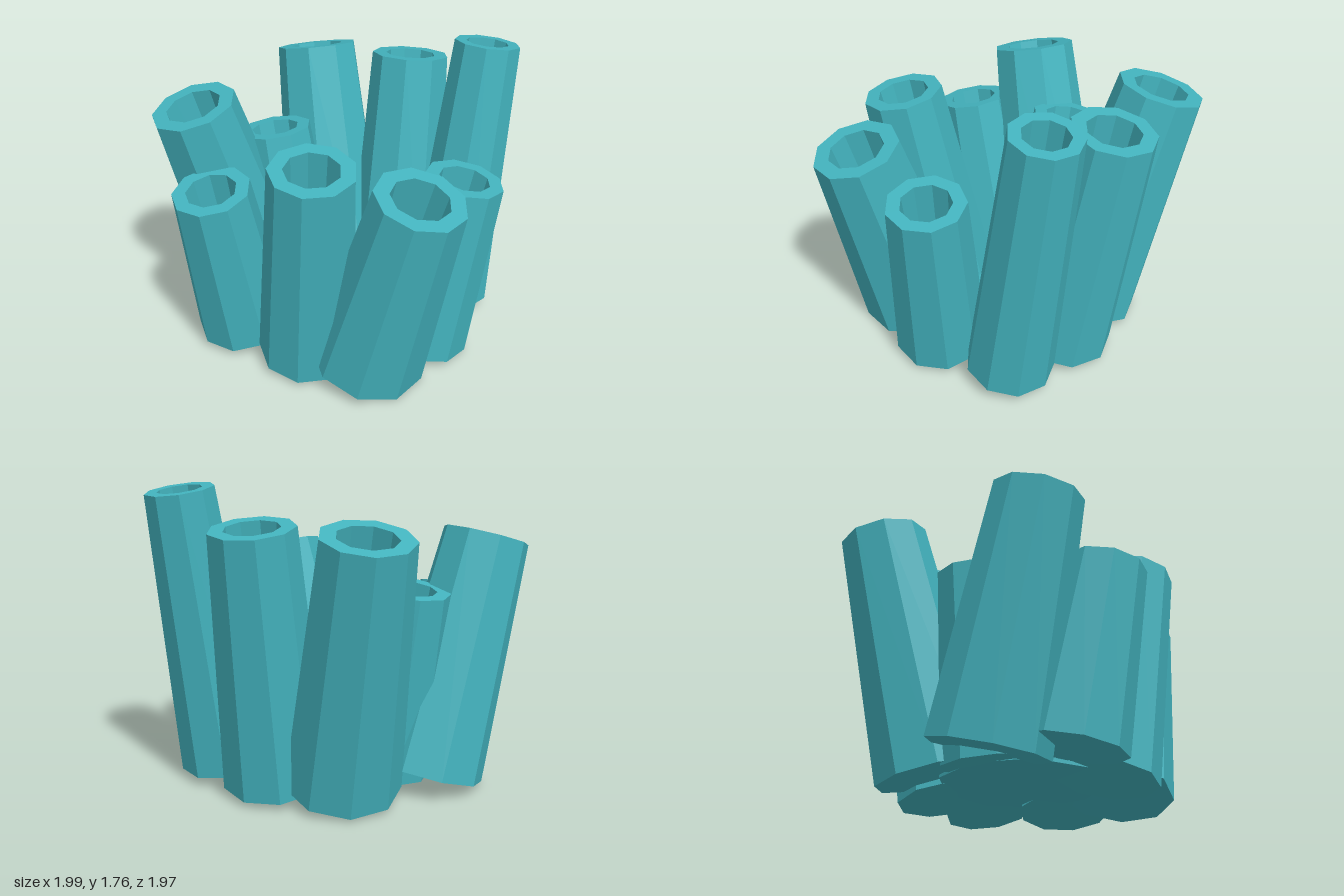
import * as THREE from 'three';

// Each tube: top centre, bottom centre, top radius, foot radius
const TUBES = [
  { name: 'backLeftTube', top: [0.39, 1.73, -0.785], base: [0.375, 0.09, -0.515], r: 0.197, foot: 0.265 },
  { name: 'backMiddleTube', top: [-0.14, 1.55, -0.74], base: [-0.05, 0.08, -0.505], r: 0.24, foot: 0.305 },
  { name: 'backRightTube', top: [-0.75, 1.53, -0.53], base: [-0.41, 0.1, -0.33], r: 0.255, foot: 0.34 },
  { name: 'sideRightTube', top: [-0.59, 1.18, 0.05], base: [-0.41, 0.1, 0.05], r: 0.225, foot: 0.28 },
  { name: 'frontRightTube', top: [-0.74, 1.45, 0.56], base: [-0.63, 0.09, 0.18], r: 0.255, foot: 0.335 },
  { name: 'frontShortTube', top: [-0.395, 1.10, 0.77], base: [-0.42, 0.09, 0.56], r: 0.228, foot: 0.29 },
  { name: 'frontMiddleTube', top: [0.255, 1.39, 0.63], base: [0.06, 0.065, 0.49], r: 0.24, foot: 0.3 },
  { name: 'frontLeftTube', top: [0.765, 1.29, 0.37], base: [0.42, 0.1, 0.36], r: 0.255, foot: 0.345 },
  { name: 'sideLeftTube', top: [0.68, 1.16, -0.17], base: [0.525, 0.07, -0.04], r: 0.227, foot: 0.28 },
];

const SIDES = 9;
const UP = new THREE.Vector3(0, 1, 0);

// Nine-sided revolved solid with one corner toward -x
function lathe(profile) {
  const points = profile.map(([x, y]) => new THREE.Vector2(x, y));
  return new THREE.LatheGeometry(points, SIDES, -Math.PI / 2);
}

// Tube flaring toward a closed foot, with a tapering bore, leaning from base to top
function makeTube({ name, top, base, r, foot }, material) {
  const start = new THREE.Vector3(...base);
  const axis = new THREE.Vector3(...top).sub(start);
  const length = axis.length();
  const boreFloor = length * 0.35;
  const geometry = lathe([
    [0, 0],
    [foot, 0],
    [r, length],
    [r * 0.65, length],
    [r * 0.53, boreFloor],
    [0, boreFloor],
  ]);
  const tube = new THREE.Mesh(geometry, material);
  tube.name = name;
  tube.position.copy(start);
  tube.quaternion.setFromUnitVectors(UP, axis.normalize());
  return tube;
}

export function createModel() {
  const teal = new THREE.MeshStandardMaterial({ color: 0x43b3be });
  teal.name = 'teal';
  teal.flatShading = true;

  const model = new THREE.Group();
  model.name = 'tubeCluster';
  for (const spec of TUBES) model.add(makeTube(spec, teal));

  // Shallow hub joining the feet
  const hub = new THREE.Mesh(lathe([[0, 0.11], [0.48, 0.09], [0.48, 0.11], [0, 0.15]]), teal);
  hub.name = 'baseHub';
  hub.position.x = -0.03;
  model.add(hub);
  return model;
}
